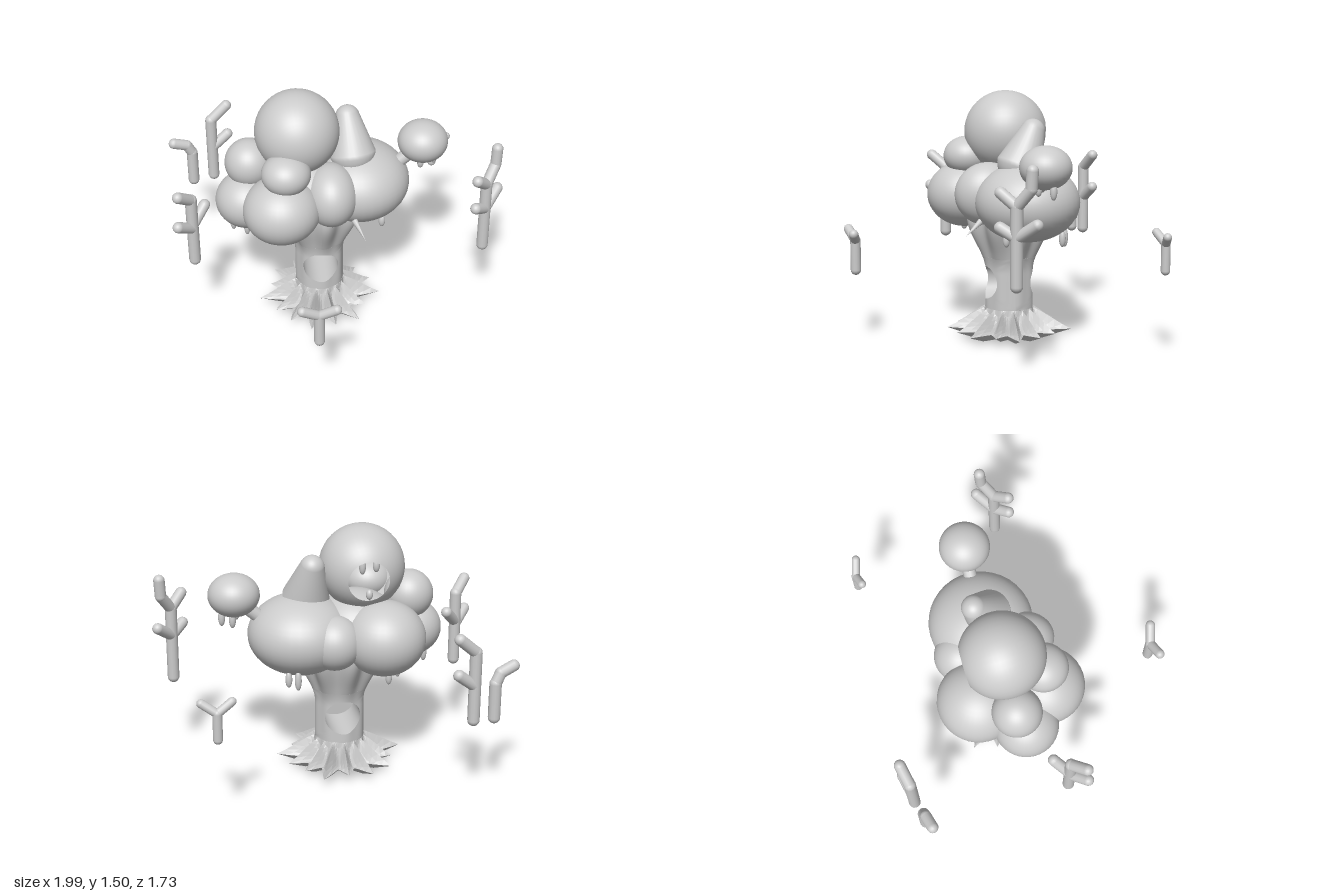
import * as THREE from 'three';

const grey = new THREE.MeshStandardMaterial({ color: 0xcccccc, side: THREE.DoubleSide });
const greyFlat = new THREE.MeshStandardMaterial({ color: 0xcccccc, side: THREE.DoubleSide, flatShading: true });
const V = (x, y, z) => new THREE.Vector3(x, y, z);

function add(parent, name, geometry, material = grey) {
  const mesh = new THREE.Mesh(geometry, material);
  mesh.name = name;
  parent.add(mesh);
  return mesh;
}

// Surface from a rule fn(u, v), with u and v running 0..1
function sheet(fn, nu, nv) {
  const pos = [], index = [];
  for (let j = 0; j <= nv; j++) for (let i = 0; i <= nu; i++) pos.push(...fn(i / nu, j / nv).toArray());
  for (let j = 0; j < nv; j++) for (let i = 0; i < nu; i++) {
    const a = j * (nu + 1) + i, d = a + nu + 1;
    index.push(a, a + 1, d + 1, a, d + 1, d);
  }
  const g = new THREE.BufferGeometry();
  g.setAttribute('position', new THREE.Float32BufferAttribute(pos, 3));
  g.setIndex(index);
  g.computeVertexNormals();
  return g;
}

// Round-ended rod between two points
function rod(parent, name, a, b, r) {
  const dir = b.clone().sub(a);
  const mesh = add(parent, name, new THREE.CapsuleGeometry(r, dir.length(), 6, 14));
  mesh.position.copy(a).lerp(b, 0.5);
  mesh.quaternion.setFromUnitVectors(V(0, 1, 0), dir.normalize());
  return mesh;
}

function ball(parent, name, [x, y, z, rx, ry = rx, rz = rx]) {
  const mesh = add(parent, name, new THREE.SphereGeometry(1, 36, 24));
  mesh.position.set(x, y, z);
  mesh.scale.set(rx, ry, rz);
  return mesh;
}

function makeTrunk() {
  const trunk = new THREE.Group();
  trunk.name = 'trunk';
  trunk.position.set(-0.09, 0, -0.12);
  const low = 0.19, high = 0.51, mid = 0.35, hole = 0.105;
  const radius = (t, y) => {
    const s = THREE.MathUtils.smoothstep(y, 0.42, 0.76);
    return 0.147 + 0.1 * s + (0.003 + 0.022 * s) * Math.sin(8 * t + 0.6);
  };
  const point = (t, y) => V(Math.sin(t) * radius(t, y), y, Math.cos(t) * radius(t, y));

  // Middle: front and back halves, each pierced by the round hole
  const panel = (a, v, turn) => {
    const c = Math.cos(a), s = Math.sin(a), m = Math.max(Math.abs(c), Math.abs(s));
    const t = THREE.MathUtils.lerp(c / m * Math.PI / 2, Math.asin(hole * c / 0.147), v);
    const y = mid + THREE.MathUtils.lerp(s / m * (high - low) / 2, hole * s, v);
    return point(t + turn, y);
  };
  for (const [name, turn] of [['trunkFront', 0], ['trunkBack', Math.PI]])
    add(trunk, name, sheet((u, v) => panel(u * Math.PI * 2, v, turn), 64, 12));
  add(trunk, 'holeWall', sheet((u, v) => {
    const a = u * Math.PI * 2;
    return panel(a, 1, 0).lerp(panel(Math.PI - a, 1, Math.PI), v);
  }, 64, 4));

  // Flaring fluted top
  add(trunk, 'trunkTop', sheet((u, v) => point(u * Math.PI * 2, high + v * 0.27), 96, 10));

  // Skirt of pointed roots, closed below
  const spikes = 15;
  add(trunk, 'roots', sheet((u, v) => {
    const t = u * Math.PI * 2;
    const k = Math.floor(u * spikes) % spikes;
    const tip = Math.pow(1 - Math.abs(2 * ((u * spikes) % 1) - 1), 1.4);
    const reach = 0.24 + tip * (0.11 + 0.035 * Math.sin(k * 2.4));
    if (v < 0.3) {
      const w = v / 0.3;
      return V(Math.sin(t) * reach * w, 0.015 + 0.045 * w ** 3 - 0.015 * Math.sin(w * Math.PI), Math.cos(t) * reach * w);
    }
    const w = (v - 0.3) / 0.7;
    const r = THREE.MathUtils.lerp(reach, radius(t, low), 1 - (1 - w) ** 1.7);
    const y = 0.06 + (low - 0.06) * w ** 1.5 + (tip - 0.35) * 0.07 * Math.sin(w * Math.PI);
    return V(Math.sin(t) * r, y, Math.cos(t) * r);
  }, spikes * 6, 10), greyFlat);
  return trunk;
}

function makeCanopy() {
  const canopy = new THREE.Group();
  canopy.name = 'canopy';
  const clumps = {
    rightClump: [0.15, 0.87, -0.165, 0.31, 0.235, 0.31],
    backLeftClump: [-0.315, 0.86, -0.3, 0.245, 0.22, 0.245],
    outerLeftClump: [-0.52, 0.835, -0.07, 0.19, 0.17, 0.19],
    frontLeftClump: [-0.325, 0.86, 0.1, 0.23, 0.2, 0.23],
    frontClump: [-0.03, 0.9, 0.03, 0.16, 0.19, 0.2],
    backClump: [-0.02, 0.86, -0.33, 0.16],
    coreClump: [-0.18, 0.9, -0.12, 0.26, 0.2, 0.26],
    upperLeftClump: [-0.5, 1.06, -0.12, 0.145],
    upperFrontClump: [-0.295, 1.1, 0.09, 0.145, 0.12, 0.145],
    sideClump: [0.535, 1.125, -0.157, 0.15, 0.125, 0.15],
  };
  for (const name in clumps) ball(canopy, name, clumps[name]);

  // Crown with a round opening at the back
  const crown = add(canopy, 'crown', new THREE.SphereGeometry(0.25, 40, 28, 0, Math.PI * 2, 0.5));
  crown.position.set(-0.215, 1.25, -0.13);
  crown.rotation.x = -Math.PI / 2 - 0.12;

  // Leaning knob: two rounded ends joined by a taper
  const profile = [];
  for (let i = 0; i <= 8; i++) profile.push(new THREE.Vector2(0.14 * Math.sin(i * 0.18), -0.14 * Math.cos(i * 0.18)));
  for (let i = 0; i <= 8; i++) {
    const a = 0.3 + i / 8 * (Math.PI / 2 - 0.3);
    profile.push(new THREE.Vector2(0.072 * Math.cos(a), 0.2 + 0.072 * Math.sin(a)));
  }
  const knob = add(canopy, 'knob', new THREE.LatheGeometry(profile, 28));
  knob.position.set(0.11, 1.1, -0.135);
  knob.rotation.set(-0.4, 0, 0.1);

  rod(canopy, 'sideBranch', V(0.36, 0.96, -0.16), V(0.48, 1.06, -0.16), 0.04);

  // Drips hanging under the clumps and in the crown opening: x, y, z, length
  const drips = [
    [-0.61, 0.67, -0.08, 0.06], [-0.54, 0.66, -0.12, 0.05], [-0.53, 0.67, -0.02, 0.06],
    [-0.4, 0.66, -0.3, 0.05], [-0.33, 0.65, -0.38, 0.05], [-0.42, 0.66, 0.08, 0.04],
    [0.2, 0.66, -0.38, 0.06], [0.25, 0.66, -0.35, 0.05], [0.28, 0.67, 0.0, 0.04],
    [0.52, 1.0, -0.12, 0.04], [0.55, 0.99, -0.2, 0.05], [0.61, 1.0, -0.18, 0.05],
    [-0.26, 1.31, -0.32, 0.04], [-0.18, 1.31, -0.32, 0.05], [-0.22, 1.14, -0.33, 0.03],
  ];
  for (const [x, y, z, len] of drips) ball(canopy, 'drip', [x, y, z, 0.02, len, 0.02]);
  const twig = add(canopy, 'twig', new THREE.ConeGeometry(0.02, 0.14, 8));
  twig.position.set(0.13, 0.72, 0.16);
  twig.rotation.set(2.2, 0, -0.4);
  return canopy;
}

// Sapling: stem plus limbs given as [start offset, start y, end offset, end y] along a flat direction
function makeSapling(name, [x, z], [dx, dz], bottom, top, limbs, r) {
  const sapling = new THREE.Group();
  sapling.name = name;
  rod(sapling, 'stem', V(x, bottom + r, z), V(x, top, z), r);
  for (const [s0, y0, s1, y1] of limbs)
    rod(sapling, 'limb', V(x + dx * s0, y0, z + dz * s0), V(x + dx * s1, y1, z + dz * s1), r * 0.95);
  return sapling;
}

export function createModel() {
  const model = new THREE.Group();
  model.name = 'tree';
  model.add(makeTrunk(), makeCanopy());

  const side = [1, -1.05], back = [1, -0.27];
  model.add(
    makeSapling('leftSapling', [0.88, 0.11], side, 0.5, 0.97,
      [[0, 0.97, 0.06, 1.07], [0.06, 1.07, 0.065, 1.17], [0, 0.97, -0.068, 1.04],
        [0, 0.8, 0.085, 0.88], [0, 0.8, -0.07, 0.85]], 0.035),
    makeSapling('rightSapling', [-0.85, 0.1], side, 0.5, 0.96,
      [[0, 0.96, -0.07, 1.03], [0, 0.78, 0.075, 0.87], [0, 0.76, -0.08, 0.83]], 0.035),
    makeSapling('backTallSapling', [-0.72, -0.805], back, 0.5, 0.94,
      [[0, 0.94, 0.1, 1.03], [0, 0.74, 0.1, 0.82]], 0.035),
    makeSapling('backShortSapling', [-0.85, -0.77], back, 0.49, 0.73,
      [[0, 0.73, -0.03, 0.79], [-0.03, 0.79, -0.11, 0.82]], 0.035),
  );
  // Forked shoots, arms leaning towards +z
  for (const [name, x, z, bottom, fork, r] of [['backShoot', 0.71, -0.815, 0.51, 0.69, 0.027], ['frontShoot', -0.165, 0.81, 0.42, 0.63, 0.031]]) {
    const shoot = makeSapling(name, [x, z], [1, 0], bottom, fork, [], r);
    for (const s of [-1, 1])
      rod(shoot, 'arm', V(x, fork, z), V(x + s * r * 3.1, fork + 0.055, z + 0.025), r * 0.92);
    model.add(shoot);
  }
  return model;
}
